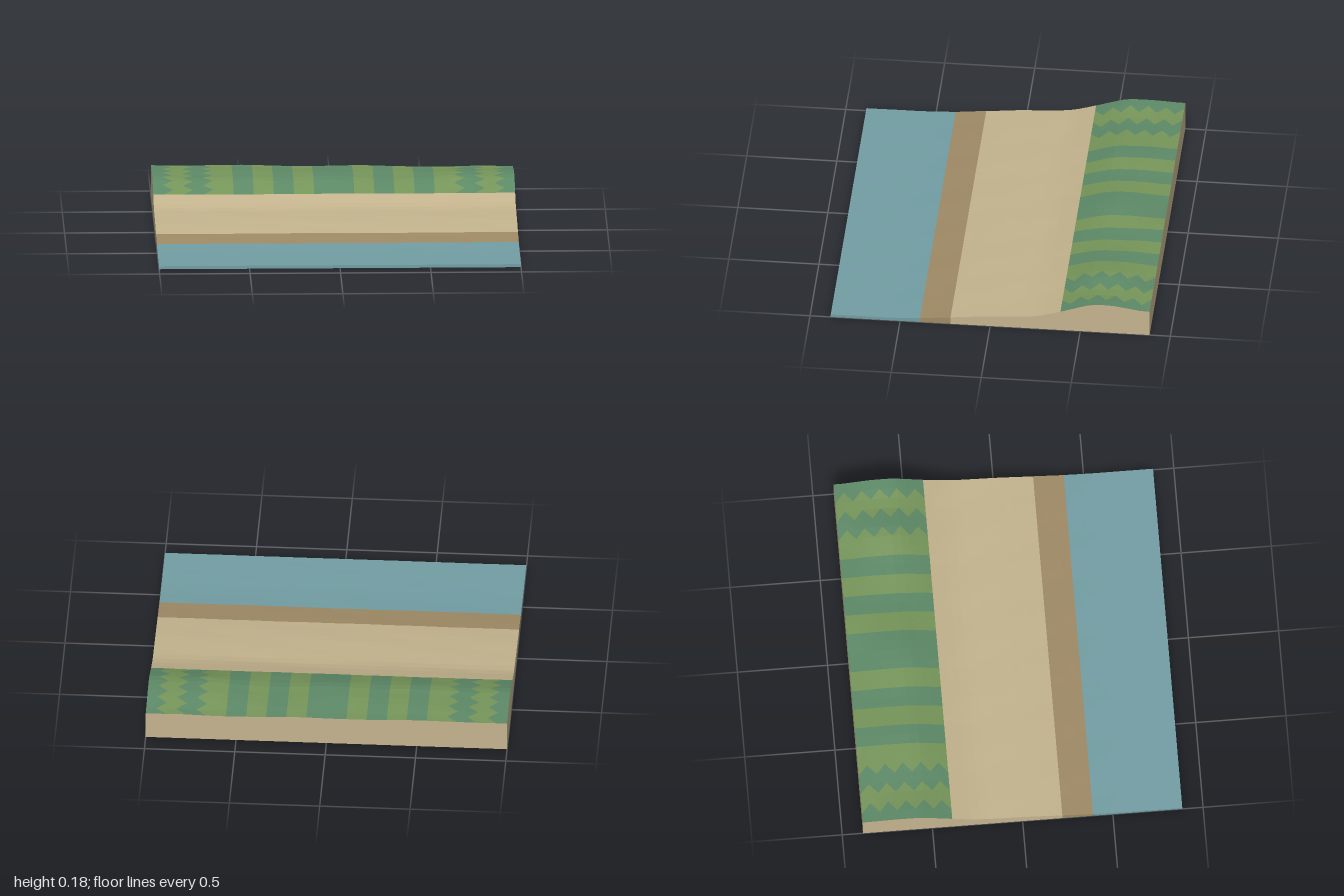
import * as THREE from 'three';

const { smoothstep, clamp } = THREE.MathUtils;
const HALF_X = 1, HALF_Z = 0.885, COLS = 36;

// Interpolates [position, value] points, straight or eased
function sample(points, t, eased) {
  let i = 0;
  while (i < points.length - 2 && t > points[i + 1][0]) i++;
  const [[t0, v0], [t1, v1]] = [points[i], points[i + 1]];
  const k = clamp((t - t0) / (t1 - t0), 0, 1);
  return v0 + (v1 - v0) * (eased ? k * k * (3 - 2 * k) : k);
}

// Cross-section of the shore from the back (-z) to the water (+z)
const PROFILE = [
  [-0.885, 0.162], [-0.84, 0.163], [-0.79, 0.169], [-0.74, 0.175], [-0.69, 0.179],
  [-0.6, 0.18], [-0.56, 0.178], [-0.5, 0.16], [-0.4, 0.125], [-0.3, 0.095],
  [-0.25, 0.083], [-0.2, 0.076], [-0.1, 0.071], [0, 0.065], [0.1, 0.056],
  [0.22, 0.043], [0.39, 0.026], [0.48, 0.021], [0.56, 0.018], [0.885, 0.017]];

// Height of the dune crest along x
const CREST = [
  [-1, 0.18], [-0.8, 0.168], [-0.5, 0.178], [-0.3, 0.171], [0, 0.178],
  [0.3, 0.16], [0.5, 0.168], [0.7, 0.184], [0.85, 0.172], [1, 0.184]];

function height(x, z) {
  const dune = 1 - smoothstep(z, -0.58, -0.39);
  const rear = 1 - smoothstep(z, -0.88, -0.62);
  const crestShift = sample(CREST, x, true) - 0.18;
  const rearShift = 0.003 - 0.01 * x + 0.003 * Math.sin(9 * x);
  const shift = dune * (crestShift * (1 - rear) + rearShift * rear);
  const ripple = 0.0012 * Math.sin(7 * x + 11 * z) * Math.sin(13 * x - 17 * z + 1);
  return sample(PROFILE, z, false) + shift + ripple * (1 - smoothstep(z, 0.3, 0.6) * 0.6);
}

const COLORS = {
  grass: 0x5d8a67, lightGrass: 0x76965a, sand: 0xc4b48e, wetSand: 0x9f8a65, water: 0x729ea4 };

// Bands from back to front: top surface, side wall, z limits, rows
const BANDS = [
  ['grass', 'sand', -HALF_Z, -0.39, 10],
  ['sand', 'sand', -0.39, 0.22, 12],
  ['wetSand', 'wetSand', 0.22, 0.39, 3],
  ['water', 'water', 0.39, HALF_Z, 10]];

// Light grass stripes: whole columns, and columns cut by a zigzag edge
const LIGHT = new Set([2, 6, 7, 10, 11, 14, 15, 20, 21, 24, 25, 28, 29, 33]);
const ZIGZAG_LEFT_EDGE = new Set([1, 5, 32]);
const ZIGZAG_RIGHT_EDGE = new Set([3, 30, 34]);

export function createModel() {
  const tris = {};
  const add = (part, ...points) => (tris[part] ??= []).push(...points.flat());
  const top = (x, z) => [x, height(x, z), z];
  const columnX = (i) => -HALF_X + (2 * HALF_X * i) / COLS;

  // Outer wall piece from p to q (left to right seen from outside) and its base wedge
  const wall = (part, [px, pz], [qx, qz]) => {
    const p = [px, 0, pz], q = [qx, 0, qz], pt = top(px, pz), qt = top(qx, qz);
    add(part, p, q, qt, p, qt, pt);
    add(part, [0, 0, 0], q, p);
  };

  for (const [part, side, zBack, zFront, rows] of BANDS) {
    for (let r = 0; r < rows; r++) {
      const z0 = zBack + ((zFront - zBack) * r) / rows;
      const z1 = zBack + ((zFront - zBack) * (r + 1)) / rows;

      // Top surface, with diagonals alternating row by row
      for (let c = 0; c < COLS; c++) {
        const x0 = columnX(c), x1 = columnX(c + 1);
        const a = top(x0, z0), b = top(x1, z0), d = top(x0, z1), e = top(x1, z1);
        const isGrass = part === 'grass';
        const leftLit = isGrass && (LIGHT.has(c) || ZIGZAG_RIGHT_EDGE.has(c));
        const rightLit = isGrass && (LIGHT.has(c) || ZIGZAG_LEFT_EDGE.has(c));
        const left = leftLit ? 'lightGrass' : part;
        const right = rightLit ? 'lightGrass' : part;
        if (r % 2) {
          add(left, a, d, b);
          add(right, b, d, e);
        } else {
          add(left, a, d, e);
          add(right, a, e, b);
        }
      }

      // Side walls
      wall(side, [HALF_X, z1], [HALF_X, z0]);
      wall(side, [-HALF_X, z0], [-HALF_X, z1]);
    }
  }

  // Back and front walls
  for (let c = 0; c < COLS; c++) {
    const x0 = columnX(c), x1 = columnX(c + 1);
    wall('sand', [x1, -HALF_Z], [x0, -HALF_Z]);
    wall('water', [x0, HALF_Z], [x1, HALF_Z]);
  }

  const group = new THREE.Group();
  group.name = 'beach';
  for (const [name, points] of Object.entries(tris)) {
    const geometry = new THREE.BufferGeometry();
    geometry.setAttribute('position', new THREE.Float32BufferAttribute(points, 3));
    geometry.computeVertexNormals();
    const material = new THREE.MeshStandardMaterial({ color: COLORS[name], flatShading: true });
    const mesh = new THREE.Mesh(geometry, material);
    mesh.name = name;
    group.add(mesh);
  }
  return group;
}
